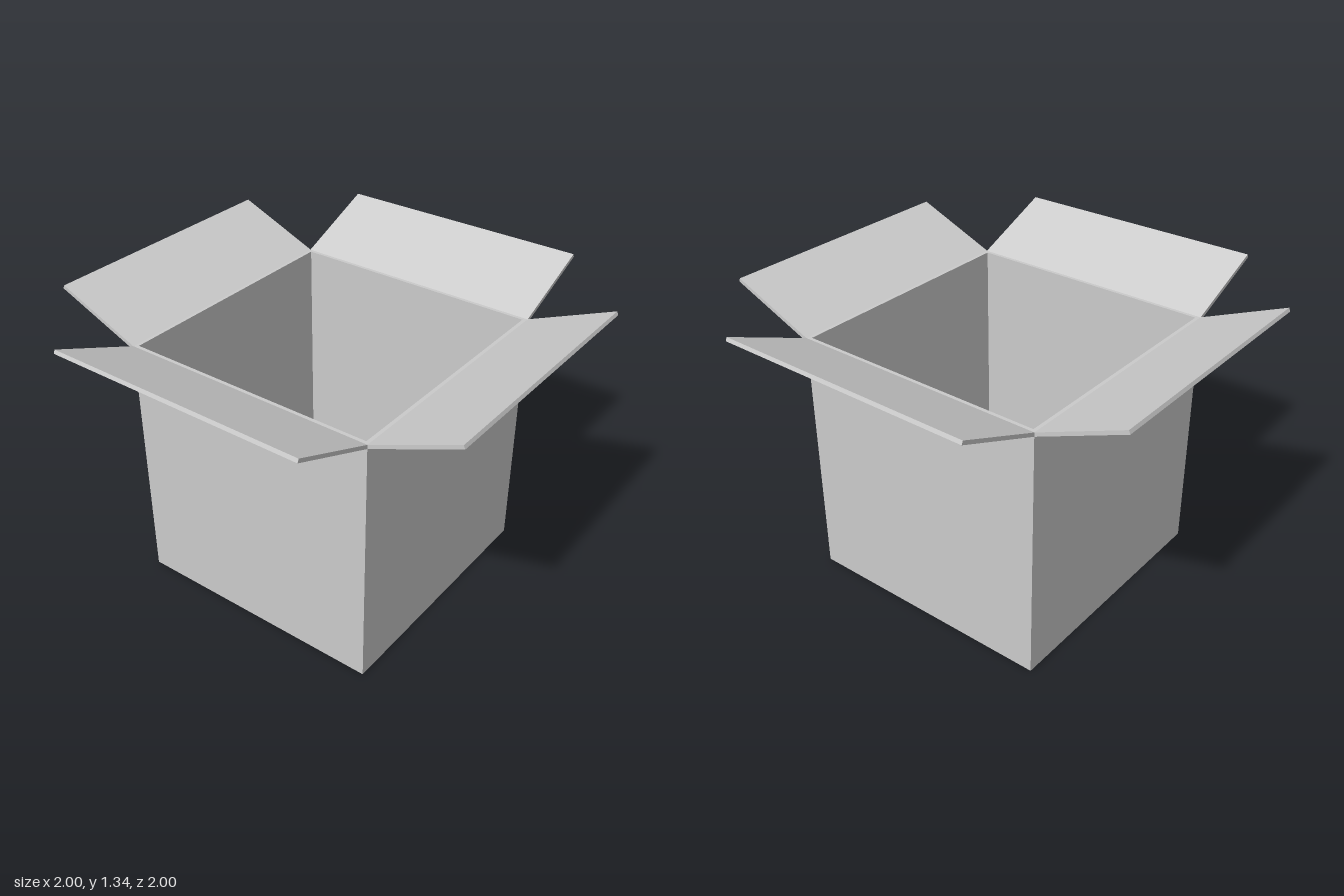
import * as THREE from 'three';

const HALF = 0.6;      // half the box width
const HEIGHT = 1.18;   // top of the walls
const CARD = 0.017;    // board thickness
const HINGE = 1.162;   // underside of the flaps where they fold
const TILT = Math.PI / 8;

export function createModel() {
  const model = new THREE.Group();
  model.name = 'openBox';
  const material = new THREE.MeshStandardMaterial({ color: 0xcccccc, flatShading: true });

  function part(name, geometry) {
    const mesh = new THREE.Mesh(geometry, material);
    mesh.name = name;
    return mesh;
  }

  // Walls: one square tube, so the corners have no overlapping boards
  const outline = new THREE.Shape([
    new THREE.Vector2(-HALF, -HALF), new THREE.Vector2(HALF, -HALF),
    new THREE.Vector2(HALF, HALF), new THREE.Vector2(-HALF, HALF),
  ]);
  const inner = HALF - CARD;
  outline.holes.push(new THREE.Path([
    new THREE.Vector2(-inner, -inner), new THREE.Vector2(-inner, inner),
    new THREE.Vector2(inner, inner), new THREE.Vector2(inner, -inner),
  ]));
  const wallGeometry = new THREE.ExtrudeGeometry(outline, { depth: HEIGHT, bevelEnabled: false });
  wallGeometry.rotateX(-Math.PI / 2);
  model.add(part('walls', wallGeometry));

  // Floor, fitted between the walls
  const floorGeometry = new THREE.BoxGeometry(inner * 2, CARD, inner * 2);
  floorGeometry.translate(0, CARD / 2, 0);
  model.add(part('floor', floorGeometry));

  // Flaps: hinged on the outer top edges and tilted up and outwards
  const length = (1 - HALF) / Math.cos(TILT);
  const flapGeometry = new THREE.BoxGeometry(HALF * 2, CARD, length);
  flapGeometry.translate(0, CARD / 2, length / 2);
  flapGeometry.rotateX(-TILT);
  flapGeometry.translate(0, HINGE, HALF);
  ['frontFlap', 'leftFlap', 'backFlap', 'rightFlap'].forEach((name, i) => {
    const flap = part(name, flapGeometry);
    flap.rotation.y = i * Math.PI / 2;
    model.add(flap);
  });

  return model;
}
